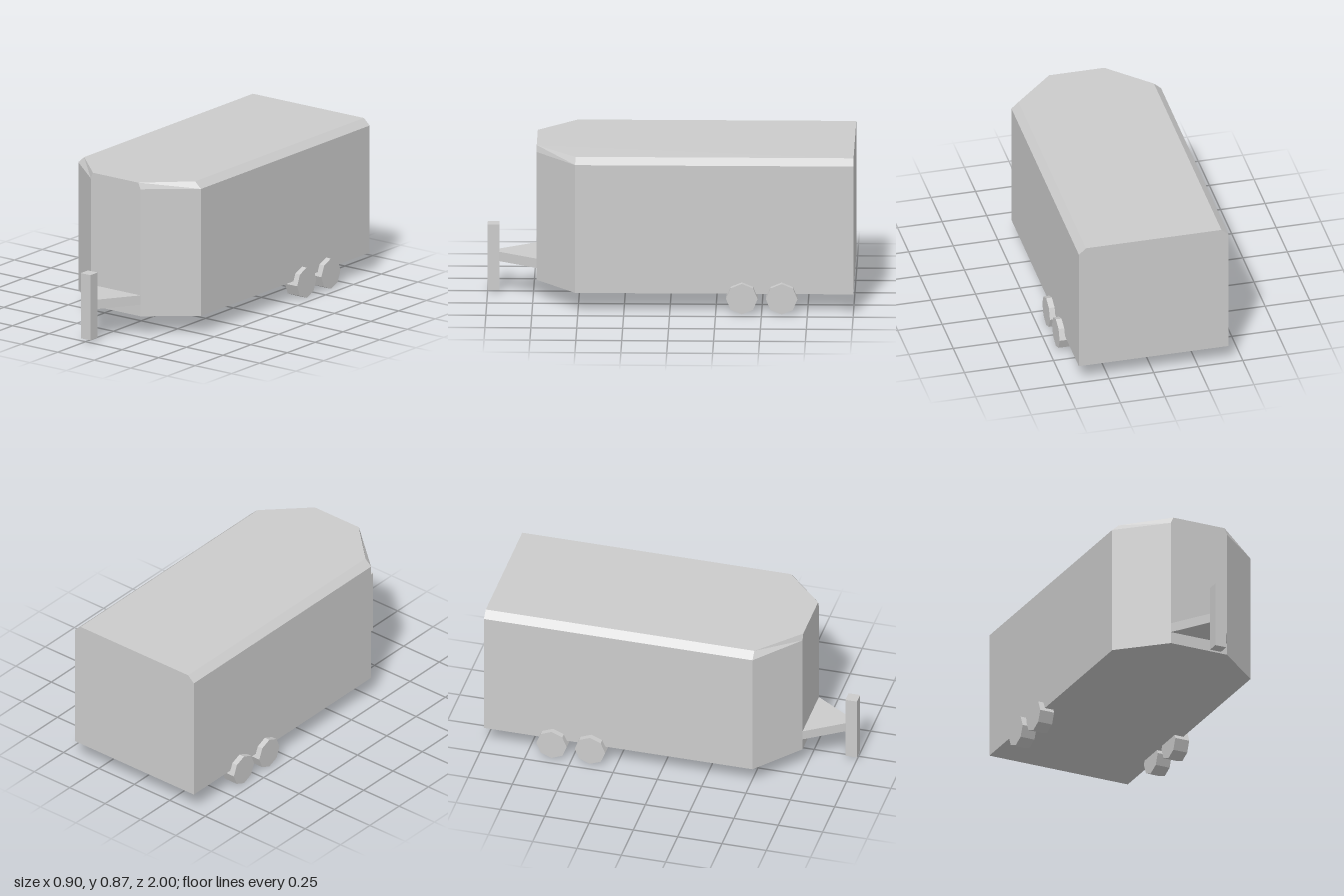
import * as THREE from 'three';

const material = new THREE.MeshStandardMaterial({ color: 0xcccccc, flatShading: true });

// Skin a solid through rings of [x, y, z]; each ring lists its +x half from rear to front
// and is mirrored to -x.
function loft(halfRings) {
  const rings = halfRings.map((half) => [
    ...half,
    ...half.map(([x, y, z]) => [-x, y, z]).reverse(),
  ]);
  const n = rings[0].length;
  const top = rings[rings.length - 1];
  const pos = [];
  const tri = (a, b, c) => pos.push(...a, ...b, ...c);
  for (let r = 0; r < rings.length - 1; r++) {
    for (let i = 0; i < n; i++) {
      const j = (i + 1) % n;
      const lo = rings[r], hi = rings[r + 1];
      tri(lo[i], hi[i], hi[j]);
      tri(lo[i], hi[j], lo[j]);
    }
  }
  // End caps
  for (let i = 1; i < n - 1; i++) {
    tri(rings[0][0], rings[0][i], rings[0][i + 1]);
    tri(top[0], top[i + 1], top[i]);
  }
  const geometry = new THREE.BufferGeometry();
  geometry.setAttribute('position', new THREE.Float32BufferAttribute(pos, 3));
  geometry.computeVertexNormals();
  return geometry;
}

export function createModel() {
  const model = new THREE.Group();
  model.name = 'boxTrailer';

  const add = (name, geometry, x = 0, y = 0, z = 0) => {
    const mesh = new THREE.Mesh(geometry, material);
    mesh.name = name;
    mesh.position.set(x, y, z);
    model.add(mesh);
  };

  // Cargo body with angled nose and chamfered roof edges
  add('cargoBody', loft([
    [[0.42, 0.108, -1], [0.42, 0.108, 0.515], [0.17, 0.112, 0.73]],
    [[0.42, 0.83, -1], [0.42, 0.83, 0.515], [0.17, 0.834, 0.73]],
    [[0.38, 0.866, -1], [0.38, 0.866, 0.515], [0.155, 0.869, 0.73]],
  ]));

  // Tapered tow tongue
  add('towTongue', loft([0.178, 0.231].map((y) => [[0.17, y, 0.73], [0.033, y, 0.937]])));

  // Upright jack post at the tip
  add('jackPost', new THREE.BoxGeometry(0.066, 0.37, 0.065), 0, 0.2, 0.9675);

  // Two octagonal wheels on each side
  const wheel = new THREE.CylinderGeometry(0.086, 0.086, 0.084, 8).rotateZ(Math.PI / 2);
  for (const [side, x] of [['left', 0.41], ['right', -0.41]]) {
    add(side + 'FrontWheel', wheel, x, 0.087, -0.393);
    add(side + 'RearWheel', wheel, x, 0.087, -0.61);
  }

  return model;
}
